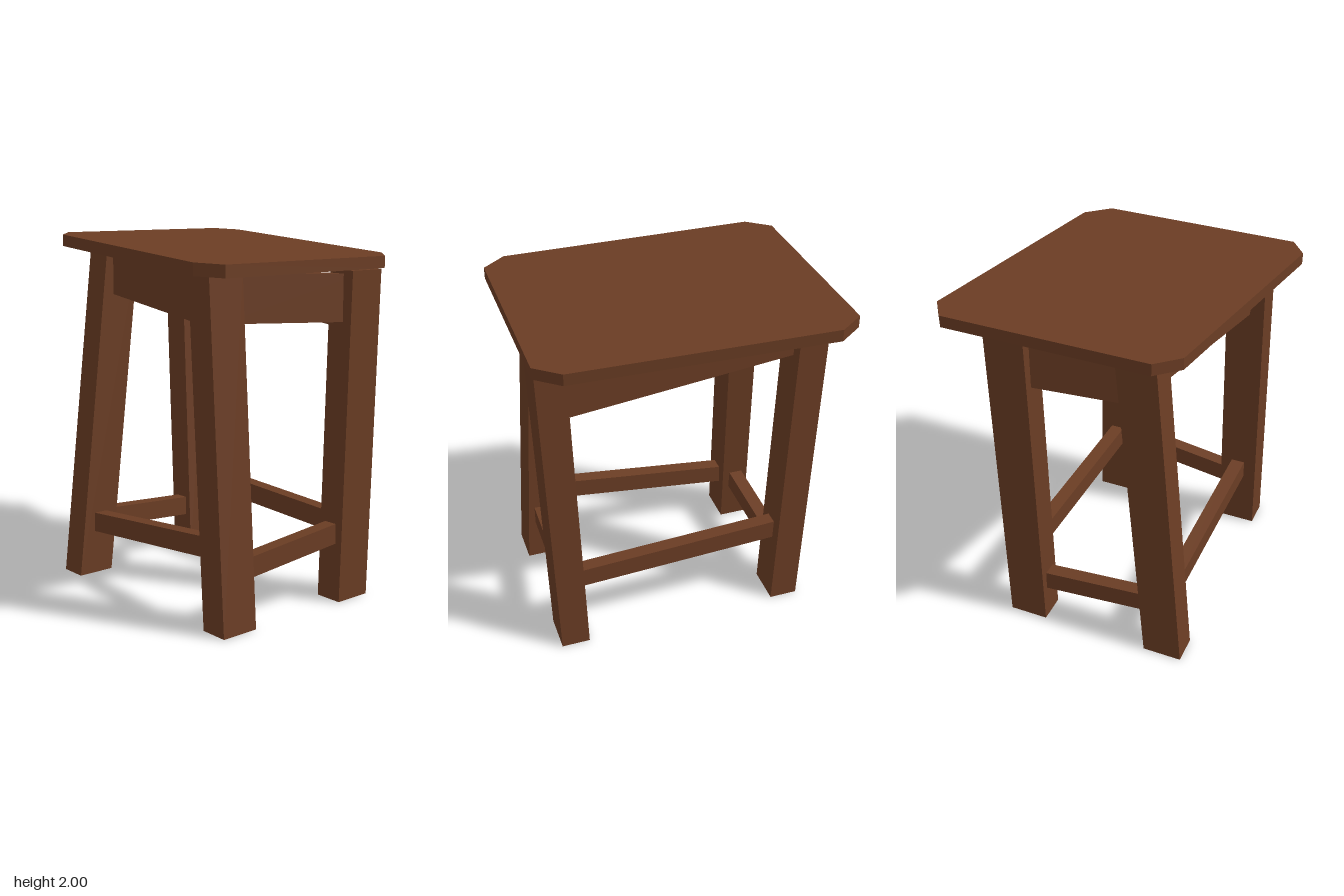
import * as THREE from 'three';

const wood = new THREE.MeshStandardMaterial({ color: 0x6b3d24 });
wood.name = 'brown wood';

// Move every vertex by a rule, then refresh the flat face normals
function reshape(geometry, rule) {
  const p = geometry.attributes.position;
  const v = new THREE.Vector3();
  for (let i = 0; i < p.count; i++) {
    rule(v.fromBufferAttribute(p, i));
    p.setXYZ(i, v.x, v.y, v.z);
  }
  geometry.computeVertexNormals();
  return geometry;
}

function part(name, geometry) {
  const mesh = new THREE.Mesh(geometry, wood);
  mesh.name = name;
  return mesh;
}

// Leg: level-cut post leaning from foot [x, z] to top [x, z]
function leg(name, foot, top, height) {
  const g = new THREE.BoxGeometry(0.162, height, 0.22).translate(0, height / 2, 0);
  return part(name, reshape(g, (v) => {
    const t = v.y / height;
    v.x += THREE.MathUtils.lerp(foot[0], top[0], t);
    v.z += THREE.MathUtils.lerp(foot[1], top[1], t);
  }));
}

// Rail: upright board between two points, its ends sunk into the legs
function rail(name, a, b, height, thickness) {
  const start = new THREE.Vector3(...a);
  const end = new THREE.Vector3(...b);
  const dir = end.clone().sub(start).setY(0).normalize();
  const g = new THREE.BoxGeometry(1, height, thickness);
  return part(name, reshape(g, (v) => {
    const side = v.z, up = v.y;
    v.lerpVectors(start, end, v.x + 0.5);
    v.x -= dir.z * side;
    v.z += dir.x * side;
    v.y += up;
  }));
}

export function createModel() {
  const stool = new THREE.Group();
  stool.name = 'stool';

  // Slanted seat board with clipped corners, outline in x, z
  const outline = [
    [-0.82, 0.46], [-0.70, 0.575], [0.69, 0.75], [0.82, 0.66],
    [0.82, -0.46], [0.69, -0.58], [-0.69, -0.75], [-0.82, -0.66],
  ];
  const shape = new THREE.Shape(outline.map(([x, z]) => new THREE.Vector2(x, -z)));
  const seat = new THREE.ExtrudeGeometry(shape, { depth: 0.065, bevelEnabled: false });
  seat.rotateX(-Math.PI / 2);
  stool.add(part('seat', reshape(seat, (v) => { v.y += 1.885 - 0.061 * v.x; })));

  // Four legs, each with its own lean
  stool.add(
    leg('frontRightLeg', [-0.625, 0.5], [-0.572, 0.305], 1.92),
    leg('frontLeftLeg', [0.673, 0.5], [0.558, 0.5], 1.848),
    leg('backRightLeg', [-0.625, -0.338], [-0.7, -0.338], 1.93),
    leg('backLeftLeg', [0.673, -0.338], [0.727, -0.338], 1.83),
  );

  // Aprons under the seat
  const aprons = {
    frontApron: [[-0.58, 1.79, 0.32], [0.565, 1.697, 0.5]],
    backApron: [[-0.69, 1.79, -0.338], [0.72, 1.635, -0.338]],
    rightApron: [[-0.58, 1.725, 0.32], [-0.7, 1.763, -0.338]],
    leftApron: [[0.565, 1.715, 0.5], [0.722, 1.68, -0.338]],
  };
  for (const [name, [a, b]] of Object.entries(aprons)) stool.add(rail(name, a, b, 0.255, 0.08));

  // Low stretchers between the legs
  const stretchers = {
    frontStretcher: [[-0.615, 0.305, 0.465], [0.65, 0.43, 0.5]],
    backStretcher: [[-0.64, 0.475, -0.338], [0.685, 0.415, -0.338]],
    rightStretcher: [[-0.615, 0.315, 0.465], [-0.635, 0.26, -0.338]],
    leftStretcher: [[0.652, 0.303, 0.5], [0.684, 0.398, -0.338]],
  };
  for (const [name, [a, b]] of Object.entries(stretchers)) stool.add(rail(name, a, b, 0.113, 0.08));

  return stool;
}
